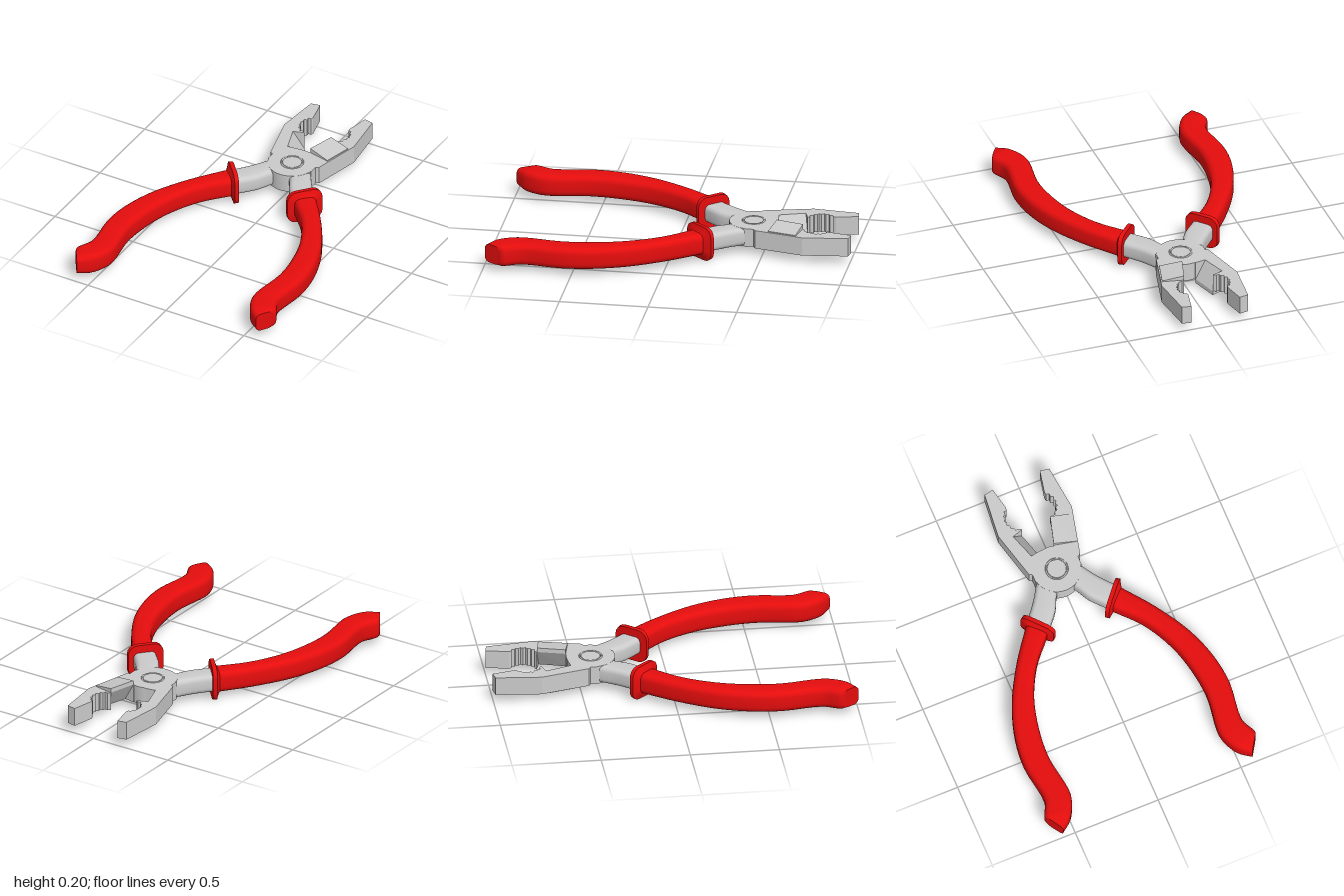
import * as THREE from 'three';
import { toCreasedNormals } from 'three/addons/utils/BufferGeometryUtils.js';
import { ConvexGeometry } from 'three/addons/geometries/ConvexGeometry.js';

const steel = new THREE.MeshStandardMaterial({ color: 0xcccccc });
const red = new THREE.MeshStandardMaterial({ color: 0xe60d0d });
const T = 0.053; // half thickness of the steel

function mesh(name, geometry, material) {
  const m = new THREE.Mesh(geometry, material);
  m.name = name;
  return m;
}

// Flat plate from an outline of [x, z] points, centred on y = 0
function plate(points) {
  const shape = new THREE.Shape(points.map(([x, z]) => new THREE.Vector2(x, -z)));
  const g = new THREE.ExtrudeGeometry(shape, { depth: 2 * T, bevelEnabled: false });
  return g.rotateX(-Math.PI / 2).translate(0, -T, 0);
}

// Refine stations [outerX, outerZ, innerX, innerZ, halfHeight] along splines
function refine(stations, steps) {
  const curve = (k) => new THREE.CatmullRomCurve3(
    stations.map((s) => new THREE.Vector3(s[k], 0, s[k + 1])), false, 'centripetal');
  const outer = curve(0), inner = curve(2), n = (stations.length - 1) * steps;
  return Array.from({ length: n + 1 }, (_, i) => {
    const o = outer.getPoint(i / n), p = inner.getPoint(i / n);
    const k = Math.min(Math.floor(i / steps), stations.length - 2);
    const h = THREE.MathUtils.lerp(stations[k][4], stations[k + 1][4], i / steps - k);
    return [o.x, o.z, p.x, p.z, h];
  });
}

// Loft rounded-rectangle sections between the outer and inner edges
function loft(stations) {
  const pos = [], idx = [], corner = 5, ring = corner * 4;
  for (const [ox, oz, ix, iz, h] of stations) {
    const w = Math.hypot(ox - ix, oz - iz) / 2;
    const ux = (ox - ix) / (2 * w), uz = (oz - iz) / (2 * w);
    const r = Math.min(0.55 * h, 0.8 * w);
    for (let q = 0; q < 4; q++) {
      for (let k = 0; k < corner; k++) {
        const a = (q + k / (corner - 1)) * Math.PI / 2;
        const sx = q === 0 || q === 3 ? 1 : -1, sy = q < 2 ? 1 : -1;
        const u = sx * (w - r) + r * Math.cos(a);
        const v = sy * (h - r) + r * Math.sin(a);
        pos.push((ox + ix) / 2 + ux * u, v, (oz + iz) / 2 + uz * u);
      }
    }
  }
  const last = (stations.length - 1) * ring;
  for (let i = 0; i < last; i += ring) {
    for (let j = 0; j < ring; j++) {
      const k = (j + 1) % ring;
      idx.push(i + j, i + k, i + ring + k, i + j, i + ring + k, i + ring + j);
    }
  }
  for (let j = 1; j < ring - 1; j++) {
    idx.push(0, j + 1, j, last, last + j, last + j + 1);
  }
  const g = new THREE.BufferGeometry();
  g.setAttribute('position', new THREE.Float32BufferAttribute(pos, 3));
  g.setIndex(idx);
  return toCreasedNormals(g, 0.7);
}

function createHalf(name) {
  const half = new THREE.Group();
  half.name = name;

  // Jaw with a toothed hollow and a gap left for the cutter
  const outline = [[0.143, -1], [0.116, -0.873]];
  for (let i = 0; i <= 12; i++) {
    const a = -0.85 + i * 0.165, r = i % 2 ? 0.087 : 0.076;
    outline.push([0.07 + r * Math.cos(a), -0.8 + r * Math.sin(a)]);
  }
  outline.push([0.085, -0.72], [0.148, -0.7], [0.1, -0.555], [0.04, -0.565],
    [0, -0.43], [0.138, -0.4], [0.138, -0.45], [0.155, -0.46],
    [0.223, -0.735], [0.196, -0.99]);
  half.add(mesh('jaw', plate(outline), steel));

  // Cutter block, raised on one face and bevelled on the other
  const cutter = [];
  for (const [z, a, m, b, dz] of [[-0.72, 0.085, 0.148, 0.206, 0.025], [-0.565, 0.04, 0.1, 0.165, 0.03]]) {
    const add = (x, y, f) => cutter.push(new THREE.Vector3(x, y, z + f * dz));
    add(a, 0.08, 0);
    add(a, 0.055, 0);
    add(m, -T, 0.6);
    add(b, 0, 1);
    add(b, 0.058, 1);
  }
  half.add(mesh('cutter', new ConvexGeometry(cutter), steel));

  // Steel arm running into the grip
  half.add(mesh('arm', loft(refine([
    [0.1, -0.45, 0, -0.36, 0.052],
    [0.14, -0.395, 0.055, -0.3, 0.052],
    [0.19, -0.317, 0.1, -0.217, 0.052],
    [0.285, -0.2, 0.185, -0.12, 0.052],
  ], 4)), steel));

  // Grip: flared collar, curved body, hooked end
  const body = refine([
    [0.29, -0.19, 0.2, -0.1, 0.062],
    [0.42, -0.015, 0.322, 0.04, 0.0625],
    [0.54, 0.195, 0.415, 0.22, 0.0625],
    [0.604, 0.39, 0.462, 0.4, 0.0625],
    [0.622, 0.56, 0.477, 0.575, 0.0625],
    [0.598, 0.79, 0.45, 0.79, 0.0625],
    [0.63, 0.865, 0.462, 0.86, 0.0625],
    [0.637, 0.885, 0.505, 0.94, 0.0625],
    [0.63, 0.905, 0.572, 0.995, 0.054],
  ], 4);
  half.add(mesh('grip', loft([
    [0.283, -0.249, 0.15, -0.095, 0.097],
    [0.303, -0.235, 0.168, -0.08, 0.0985],
    [0.297, -0.218, 0.178, -0.085, 0.078],
    ...body,
  ]), red));
  return half;
}

export function createModel() {
  const model = new THREE.Group();
  model.name = 'pliers';

  const left = createHalf('leftHalf');
  const right = createHalf('rightHalf');
  right.rotation.z = Math.PI; // same part, turned over

  // Joint disc with a grooved rivet on top
  const joint = mesh('joint', toCreasedNormals(new THREE.LatheGeometry([
    [0, -T], [0.137, -T], [0.137, T], [0.066, T + 0.001], [0.064, T - 0.008],
    [0.057, T - 0.008], [0.053, T + 0.002], [0, T + 0.002],
  ].map(([x, y]) => new THREE.Vector2(x, y)), 40), 0.5), steel);
  joint.position.z = -0.43;

  // Keep the flat steel from covering the rivet groove
  const ring = mesh('rivetRim', new THREE.TorusGeometry(0.06, 0.005, 8, 40).rotateX(Math.PI / 2), steel);
  ring.position.set(0, T, -0.43);

  const body = new THREE.Group();
  body.name = 'body';
  body.add(left, right, joint, ring);
  body.position.set(-0.009, 0.0985, 0);
  body.rotation.y = 0.009;
  model.add(body);
  return model;
}
